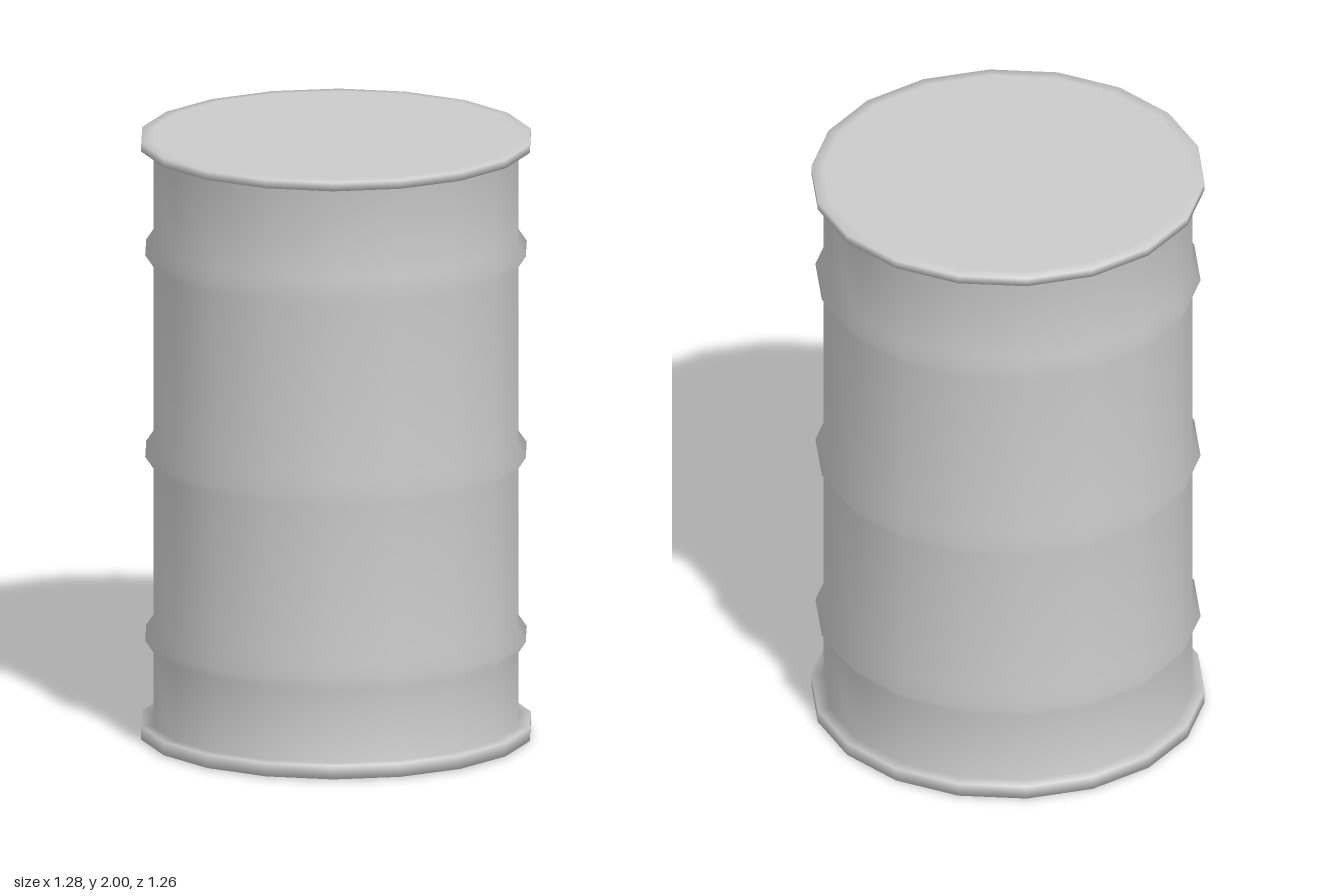
import * as THREE from 'three';

const SIDES = 18;
const BODY_R = 0.6, RIDGE_R = 0.627, RIM_R = 0.64;

export function createModel() {
  const group = new THREE.Group();
  group.name = 'drum';

  // Base disc and lower rim
  const profile = [[0, 0], [BODY_R, 0], [RIM_R, 0.005], [RIM_R, 0.05], [BODY_R, 0.05]];

  // Three rolled ridges around the wall
  for (const y of [0.335, 0.95, 1.623]) {
    profile.push([BODY_R, y - 0.04], [RIDGE_R, y], [BODY_R, y + 0.04]);
  }

  // Upper rim and lid
  profile.push([BODY_R, 1.97], [RIM_R, 1.97], [RIM_R, 1.998], [BODY_R, 2], [0, 2]);

  // One smooth shell, with a corner pointing along +x
  const geometry = new THREE.LatheGeometry(
    profile.map(([r, y]) => new THREE.Vector2(r, y)), SIDES, Math.PI / 2);
  const barrel = new THREE.Mesh(geometry, new THREE.MeshStandardMaterial({ color: 0xcccccc }));
  barrel.name = 'barrelShell';
  group.add(barrel);

  return group;
}
